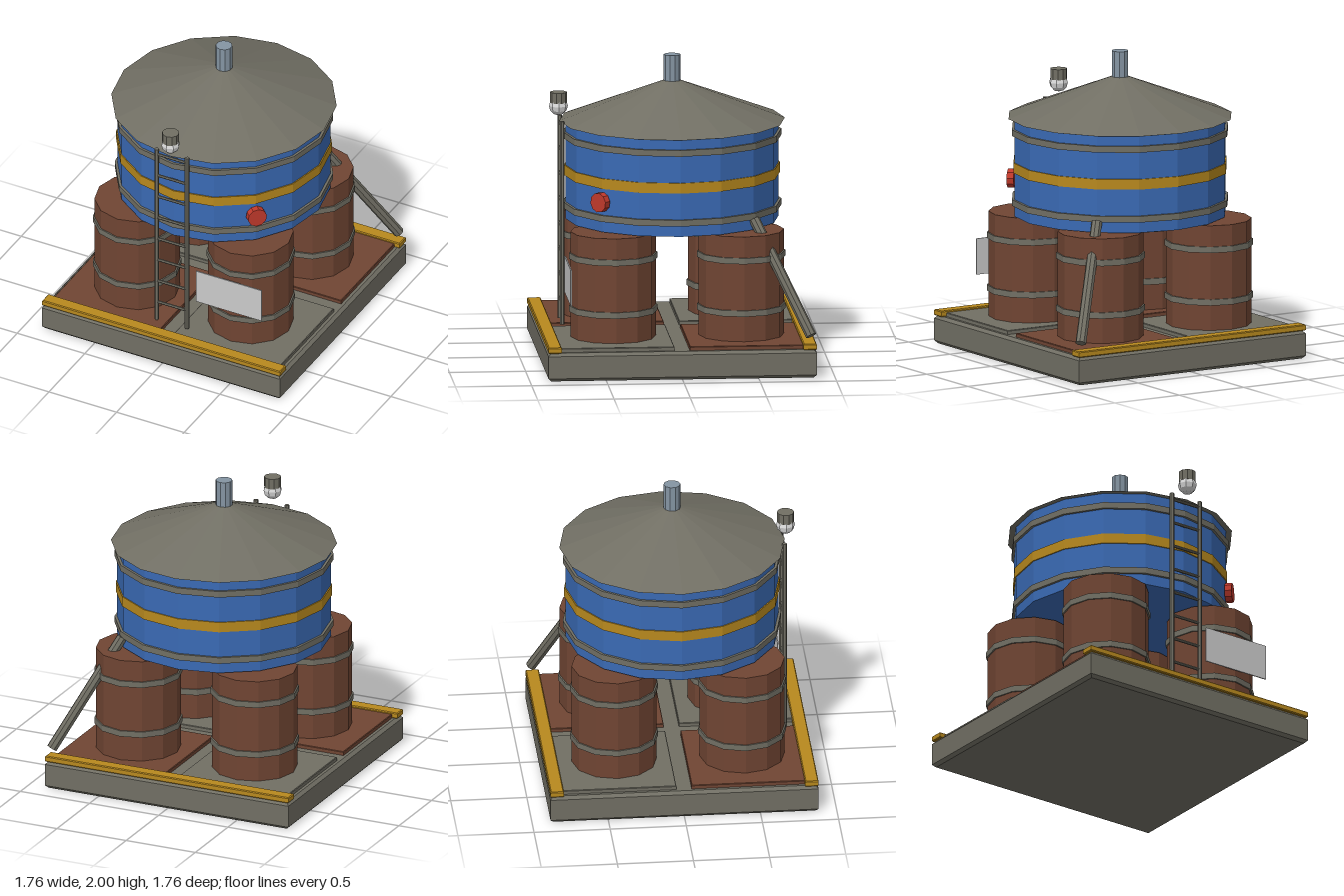
import * as THREE from 'three';

const material = (name, color) => {
  const m = new THREE.MeshStandardMaterial({ color, flatShading: true });
  m.name = name;
  return m;
};

export function createModel() {
  const model = new THREE.Group();
  model.name = 'waterTank';

  const grey = material('weathered grey', 0x716f64);
  const rust = material('rust brown', 0x704533);
  const blue = material('tank blue', 0x3a6ab4);
  const yellow = material('safety yellow', 0xb8891e);
  const red = material('valve red', 0xc0392b);
  const steel = material('blue steel', 0x8595a3);
  const white = material('lamp white', 0xdadada);
  const plate = material('plate grey', 0xcacaca);

  const add = (name, geometry, mat, x = 0, y = 0, z = 0, parent = model) => {
    const mesh = new THREE.Mesh(geometry, mat);
    mesh.name = name;
    mesh.position.set(x, y, z);
    parent.add(mesh);
    return mesh;
  };

  // Upright cylinder between two heights
  const drum = (name, r, y0, y1, sides, mat, x = 0, z = 0, parent = model, rTop = r) =>
    add(name, new THREE.CylinderGeometry(rTop, r, y1 - y0, sides), mat, x, (y0 + y1) / 2, z, parent);

  // Box with chamfered edges
  const chamferBox = (w, h, d, c) => {
    const a = w / 2 - c, b = d / 2 - c;
    const s = new THREE.Shape([[-a, -b], [a, -b], [a, b], [-a, b]].map(p => new THREE.Vector2(...p)));
    const g = new THREE.ExtrudeGeometry(s, {
      depth: h - 2 * c, bevelEnabled: true, bevelThickness: c, bevelSize: c, bevelSegments: 1,
    });
    return g.translate(0, 0, c - h / 2).rotateX(-Math.PI / 2);
  };

  // Cylinder between two points
  const rod = (name, from, to, r, sides, mat, parent = model) => {
    const a = new THREE.Vector3(...from), b = new THREE.Vector3(...to);
    const mesh = add(name, new THREE.CylinderGeometry(r, r, a.distanceTo(b), sides), mat, 0, 0, 0, parent);
    mesh.position.copy(a).add(b).multiplyScalar(0.5);
    mesh.quaternion.setFromUnitVectors(new THREE.Vector3(0, 1, 0), b.sub(a).normalize());
    return mesh;
  };

  // Base slab with yellow kerbs front and back
  add('base', chamferBox(1.76, 0.187, 1.76, 0.02), grey, 0, 0.0935, 0);
  for (const s of [-1, 1])
    add('kerb', chamferBox(1.76, 0.04, 0.088, 0.006), yellow, 0, 0.206, s * 0.836);

  // Chequered floor panels, each carrying a banded support drum
  for (const sx of [-1, 1]) for (const sz of [-1, 1]) {
    add('floorPanel', chamferBox(0.79, 0.03, 0.79, 0.004), sx * sz < 0 ? rust : grey,
      sx * 0.445, 0.198, sz * 0.445);
    const support = new THREE.Group();
    support.name = 'supportDrum';
    support.position.set(sx * 0.42, 0, sz * 0.42);
    model.add(support);
    drum('drumBody', 0.28, 0.21, 0.91, 12, rust, 0, 0, support);
    for (const y of [0.4, 0.75]) drum('drumBand', 0.29, y - 0.02, y + 0.02, 12, grey, 0, 0, support);
  }

  // Tank, bands, roof and vent
  drum('tank', 0.7, 0.918, 1.57, 16, blue);
  for (const y of [1.01, 1.475]) drum('tankBand', 0.717, y - 0.021, y + 0.021, 16, grey);
  drum('tankStripe', 0.708, 1.207, 1.275, 16, yellow);
  drum('roof', 0.74, 1.567, 1.83, 16, grey, 0, 0, model, 0.05);
  drum('vent', 0.055, 1.78, 2, 10, steel);

  // Ladder
  const ladder = new THREE.Group();
  ladder.name = 'ladder';
  model.add(ladder);
  for (const s of [-1, 1]) rod('ladderRail', [s * 0.112, 0.235, 0.728], [s * 0.112, 1.585, 0.728], 0.015, 6, grey, ladder);
  for (let i = 0; i < 8; i++) {
    const y = 0.375 + i * 0.167;
    rod('ladderRung', [-0.11, y, 0.728], [0.11, y, 0.728], 0.01, 6, grey, ladder);
  }

  // Lamp above the ladder
  add('lampGlass', new THREE.SphereGeometry(0.062, 8, 6), white, 0, 1.668, 0.745);
  drum('lampCap', 0.056, 1.69, 1.76, 10, grey, 0, 0.745);

  // Valve on the tank's front left corner
  rod('valve', [0.495, 1.12, 0.495], [0.528, 1.12, 0.528], 0.065, 10, red);

  // Drain pipe at the back left corner
  rod('drainPipe', [0.5, 0.99, -0.5], [0.845, 0.275, -0.845], 0.036, 8, grey);

  // Blank sign plate on the front left drum
  add('signPlate', new THREE.BoxGeometry(0.485, 0.24, 0.008), plate, 0.415, 0.58, 0.714);

  return model;
}
